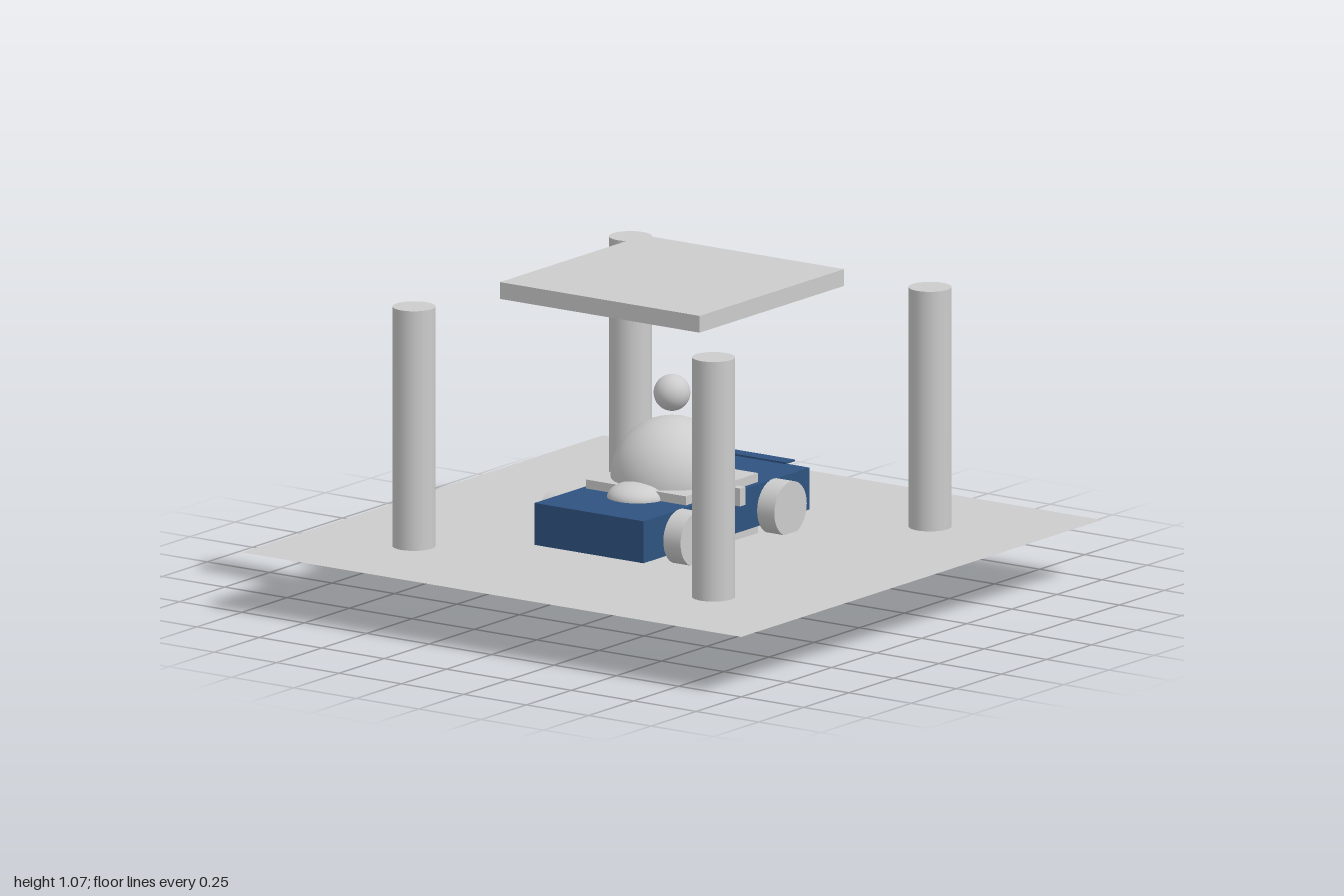
import * as THREE from 'three';

export function createModel() {
  const root = new THREE.Group();
  const gray = new THREE.MeshStandardMaterial({ color: 0xcccccc });
  gray.name = 'light gray';
  const grayTwoSided = gray;
  grayTwoSided.side = THREE.DoubleSide;
  const blue = new THREE.MeshStandardMaterial({ color: 0x2f5380 });
  blue.name = 'dark blue';

  const add = (name, geometry, material, x, y, z, parent = root) => {
    const mesh = new THREE.Mesh(geometry, material);
    mesh.name = name;
    mesh.position.set(x, y, z);
    parent.add(mesh);
    return mesh;
  };
  const box = (w, h, d) => new THREE.BoxGeometry(w, h, d);

  // Flat ground sheet
  add('ground', new THREE.PlaneGeometry(2, 2).rotateX(-Math.PI / 2), grayTwoSided, 0, 0.2, 0);

  // Central block, dome and floating ball
  add('block', box(0.4, 0.4, 0.4), gray, 0, 0.2, 0);
  add('dome', new THREE.SphereGeometry(0.2, 32, 16, 0, Math.PI * 2, 0, Math.PI / 2), gray, 0, 0.4, 0);
  add('ball', new THREE.SphereGeometry(0.06, 32, 16), gray, 0, 0.68, 0);

  // Gear below the ground; its teeth turn against their placing angle
  const gear = new THREE.Group();
  gear.name = 'gear';
  root.add(gear);
  add('gearDisc', new THREE.CylinderGeometry(0.3, 0.3, 0.098, 32), gray, 0, 0.15, 0, gear);
  for (let i = 0; i < 16; i++) {
    const a = (i / 16) * Math.PI * 2;
    const tooth = add('gearTooth', box(0.05, 0.1, 0.15), gray, 0.32 * Math.cos(a), 0.15, 0.32 * Math.sin(a), gear);
    tooth.rotation.y = a;
  }

  // Corner columns and floating roof
  for (const x of [-0.6, 0.6]) {
    for (const z of [-0.6, 0.6]) {
      add('column', new THREE.CylinderGeometry(0.07, 0.07, 0.8, 32), gray, x, 0.6, z);
    }
  }
  add('roof', box(0.8, 0.056, 0.8), gray, 0, 1.042, 0);

  // Car body with windscreen bubble and rear wing
  const car = new THREE.Group();
  car.name = 'car';
  root.add(car);
  add('carBody', box(0.436, 0.14, 0.92), blue, 0, 0.3, 0, car);
  add('windscreen', new THREE.SphereGeometry(0.1, 32, 16).scale(1, 0.5, 1), gray, 0, 0.37, 0.19, car);
  add('rearWing', box(0.4, 0.006, 0.05), blue, 0, 0.402, -0.38, car);

  // Wheels and side mirrors
  for (const side of [-1, 1]) {
    for (const z of [-0.26, 0.26]) {
      const wheel = new THREE.CylinderGeometry(0.09, 0.09, 0.07, 32).rotateZ(Math.PI / 2);
      add('wheel', wheel, gray, side * 0.252, 0.282, z, car);
    }
    add('mirror', box(0.03, 0.06, 0.03), gray, side * 0.24, 0.36, -0.04, car);
  }
  return root;
}
